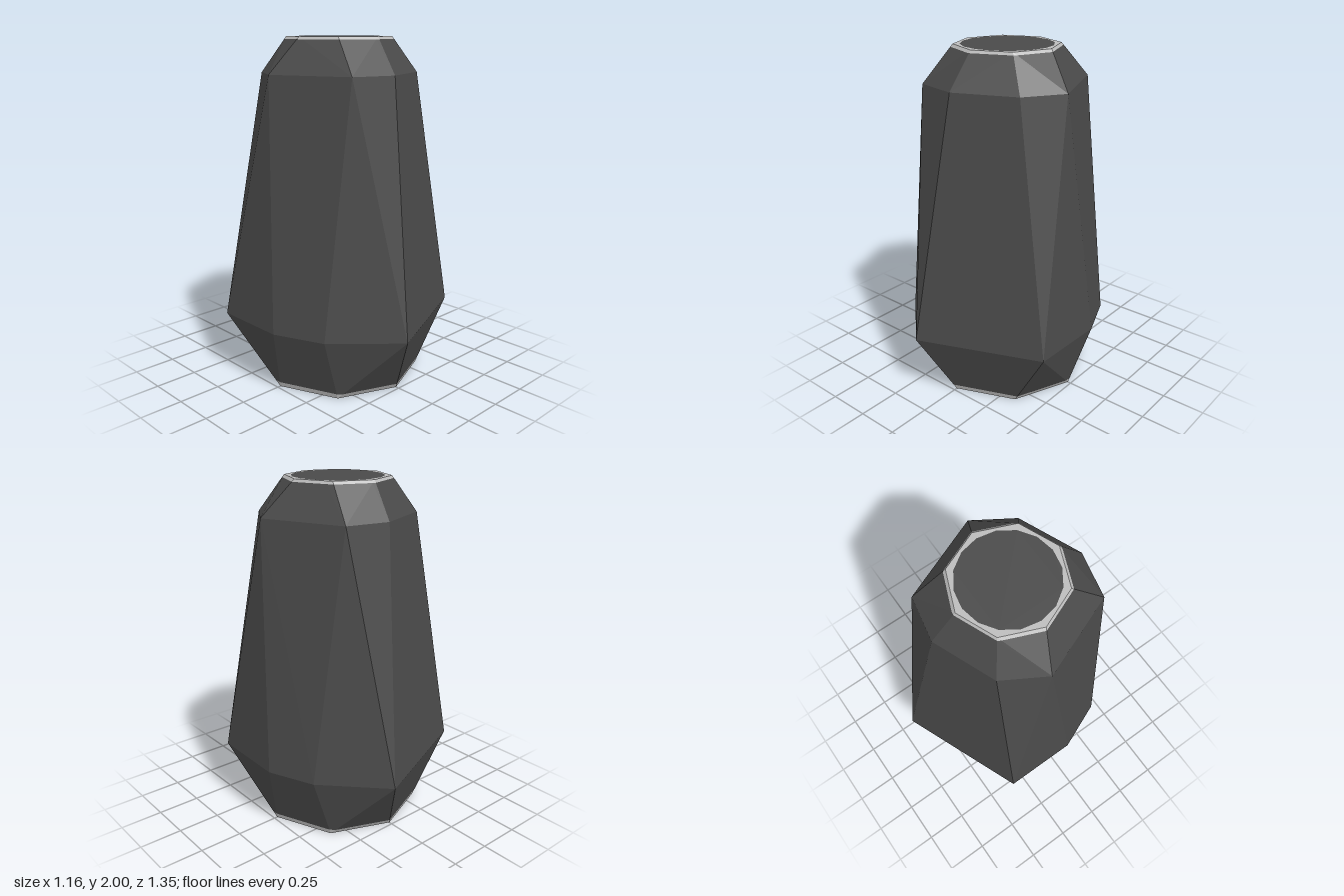
import * as THREE from 'three';
import { ConvexGeometry } from 'three/addons/geometries/ConvexGeometry.js';

// Regular polygon as [x, z] pairs
const ngon = (n, r) => Array.from({ length: n }, (_, i) => {
  const a = (i / n) * Math.PI * 2;
  return [Math.cos(a) * r, Math.sin(a) * r];
});

// Irregular cross-sections of the faceted stone, from the base up
const TOP_R = 0.3, BASE_R = 0.48;
const rings = [
  [0, ngon(8, BASE_R)],
  [0.38, [[0.58, -0.08], [0.57, 0.38], [-0.13, 0.67], [-0.46, 0.36],
    [-0.58, 0.07], [-0.58, -0.37], [0.155, -0.675], [0.47, -0.35]]],
  [1.8, [[0.47, 0.08], [0.33, 0.3], [-0.02, 0.445], [-0.28, 0.385],
    [-0.46, -0.07], [-0.325, -0.3], [0.02, -0.44], [0.275, -0.39]]],
  [2, ngon(8, TOP_R)],
];

// Keep the part of a polygon on one side of the level y = h
function clip(poly, h, sign) {
  const out = [];
  poly.forEach((a, i) => {
    const b = poly[(i + 1) % poly.length];
    const da = (a.y - h) * sign, db = (b.y - h) * sign;
    if (da >= 0) out.push(a);
    if (da * db < 0) out.push(a.clone().lerp(b, da / (da - db)));
  });
  return out;
}

// Side facets of the hull between two heights, without the flat ends
function sideBand(hull, y0, y1) {
  const pos = hull.getAttribute('position');
  const pts = [];
  for (let i = 0; i < pos.count; i += 3) {
    const tri = [0, 1, 2].map((k) => new THREE.Vector3().fromBufferAttribute(pos, i + k));
    const ys = tri.map((p) => p.y);
    if (Math.max(...ys) - Math.min(...ys) < 1e-4) continue;
    const poly = clip(clip(tri, y0, 1), y1, -1);
    for (let k = 1; k < poly.length - 1; k++) pts.push(poly[0], poly[k], poly[k + 1]);
  }
  const geo = new THREE.BufferGeometry().setFromPoints(pts);
  geo.computeVertexNormals();
  return geo;
}

export function createModel() {
  const group = new THREE.Group();
  const stone = new THREE.MeshStandardMaterial({ color: 0x4a4a4a });
  stone.name = 'dark stone';
  const edge = new THREE.MeshStandardMaterial({ color: 0xbcbcbc });
  edge.name = 'worn edge grey';

  const add = (name, geo, mat) => {
    const mesh = new THREE.Mesh(geo, mat);
    mesh.name = name;
    group.add(mesh);
    return mesh;
  };

  const points = rings.flatMap(([y, ring]) => ring.map(([x, z]) => new THREE.Vector3(x, y, z)));
  const hull = new ConvexGeometry(points);

  // Faceted sides with pale worn bands at both ends
  add('stoneBody', sideBand(hull, 0.03, 1.985), stone);
  add('baseEdgeBand', sideBand(hull, 0, 0.03), edge);
  add('topEdgeBand', sideBand(hull, 1.985, 2), edge);

  // Flat ends: dark centre and pale rim
  const toVec = ([x, y]) => new THREE.Vector2(x, y);
  const addEnd = (name, y, outer, inner, turn) => {
    const rim = new THREE.Shape(ngon(8, outer).map(toVec));
    const centre = ngon(16, inner).map(toVec);
    rim.holes.push(new THREE.Path(centre));
    const place = (shape) => new THREE.ShapeGeometry(shape).rotateX(turn).translate(0, y, 0);
    add(name + 'Rim', place(rim), edge);
    add(name + 'Centre', place(new THREE.Shape(centre)), stone);
  };
  addEnd('top', 2, TOP_R, 0.262, -Math.PI / 2);
  addEnd('base', 0, BASE_R, 0.4, Math.PI / 2);

  return group;
}
